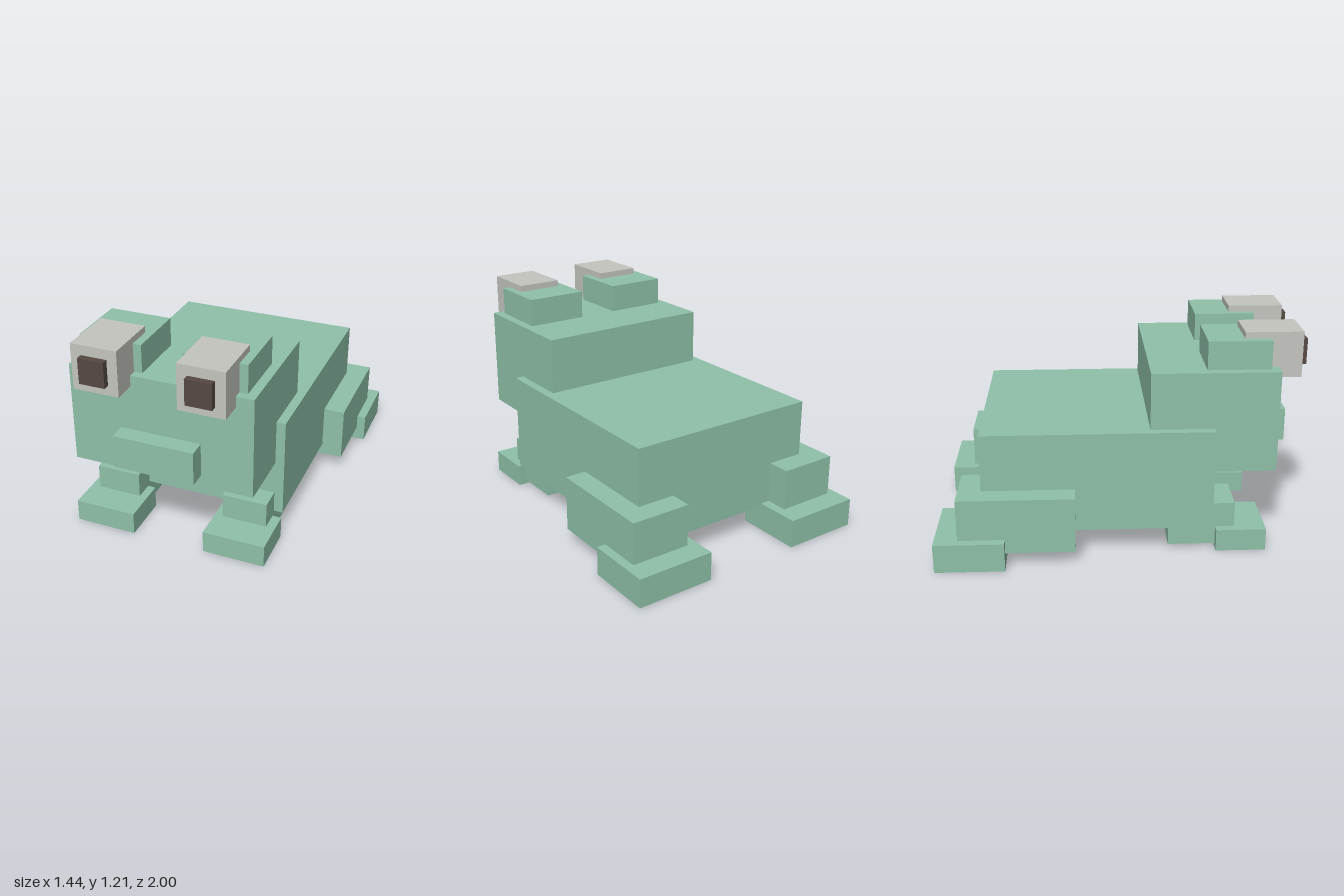
import * as THREE from 'three';

const green = new THREE.MeshStandardMaterial({ name: 'skin green', color: 0x8fc1a9 });
const grey = new THREE.MeshStandardMaterial({ name: 'pale grey', color: 0xc5c5c0 });
const brown = new THREE.MeshStandardMaterial({ name: 'pupil brown', color: 0x564943 });

// Box given by its extents on each axis
function block(name, material, [x0, x1], [y0, y1], [z0, z1]) {
  const mesh = new THREE.Mesh(new THREE.BoxGeometry(x1 - x0, y1 - y0, z1 - z0), material);
  mesh.position.set((x0 + x1) / 2, (y0 + y1) / 2, (z0 + z1) / 2);
  mesh.name = name;
  return mesh;
}

export function createModel() {
  const frog = new THREE.Group();
  frog.name = 'frog';

  // Trunk, belly plate, head and snout
  frog.add(
    block('body', green, [-0.55, 0.55], [0.145, 0.705], [-0.75, 0.5]),
    block('belly', grey, [-0.4, 0.4], [0.115, 0.2], [-0.45, 0.45]),
    block('head', green, [-0.5, 0.5], [0.455, 1.015], [0.155, 0.84]),
    block('snout', green, [-0.22, 0.22], [0.52, 0.705], [0.75, 0.935]),
  );

  // Paired parts, as extents on the left (+x) side
  const pairs = [
    ['EyeSocket', green, [0.11, 0.45], [0.9, 1.17], [0.455, 0.795]],
    ['Eye', grey, [0.155, 0.405], [0.955, 1.205], [0.655, 0.965]],
    ['Pupil', brown, [0.21, 0.35], [1.01, 1.15], [0.93, 1]],
    ['FrontLeg', green, [0.25, 0.5], [0.02, 0.265], [0.26, 0.625]],
    ['FrontFoot', green, [0.205, 0.55], [0, 0.125], [0.52, 0.795]],
    ['HindLeg', green, [0.335, 0.67], [0.08, 0.39], [-0.875, -0.25]],
    ['HindFoot', green, [0.28, 0.72], [0, 0.16], [-1, -0.625]],
  ];
  for (const [name, material, [x0, x1], y, z] of pairs) {
    frog.add(block('left' + name, material, [x0, x1], y, z));
    frog.add(block('right' + name, material, [-x1, -x0], y, z));
  }
  return frog;
}
